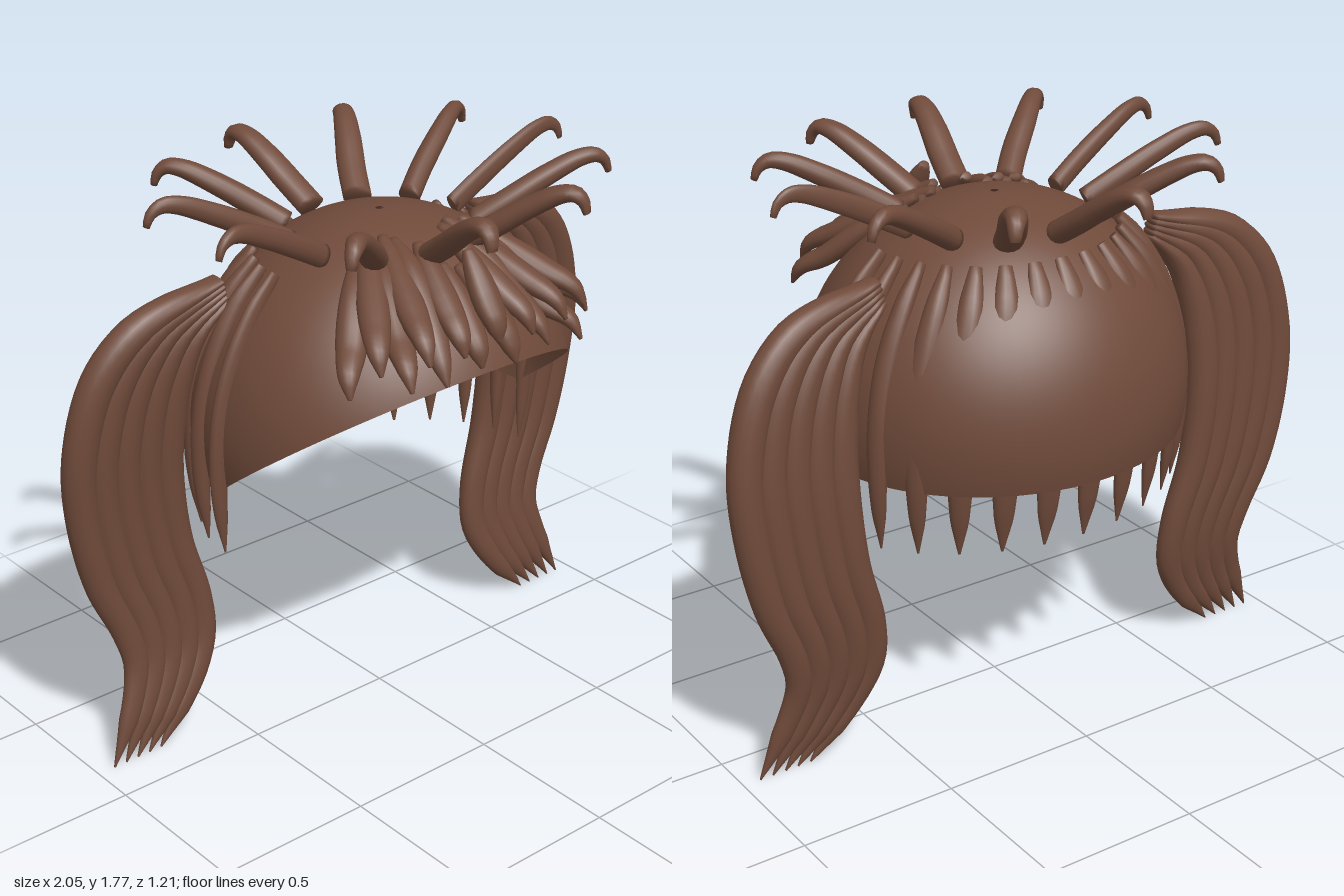
import * as THREE from 'three';
import { ParametricGeometry } from 'three/addons/geometries/ParametricGeometry.js';

const V = (x, y, z) => new THREE.Vector3(x, y, z);
const hair = new THREE.MeshStandardMaterial({ color: 0x6f4a3a, side: THREE.DoubleSide });
hair.name = 'brown hair';

// Cap ellipsoid
const CY = 1.03, RX = 0.61, RY = 0.6, RZ = 0.56;
const domeY = (x, z) => CY + RY * Math.sqrt(Math.max(0, 1 - (x / RX) ** 2 - (z / RZ) ** 2));

// Linear lookup in a short list of evenly spaced values
function sample(list, t) {
  const f = t * (list.length - 1), i = Math.min(Math.floor(f), list.length - 2);
  return THREE.MathUtils.lerp(list[i], list[i + 1], f - i);
}

// Lock of hair: an elliptical section swept along a smooth path.
// widths are half sizes along "side", depths are half sizes across it.
function lock(points, side, widths, depths, steps = 28, sides = 14) {
  const curve = new THREE.CatmullRomCurve3(points, false, 'centripetal');
  const pos = [], index = [];
  for (let i = 0; i <= steps; i++) {
    const t = i / steps, c = curve.getPointAt(t), T = curve.getTangentAt(t);
    const S = side.clone().addScaledVector(T, -side.dot(T)).normalize();
    const N = T.clone().cross(S);
    const w = sample(widths, t), d = sample(depths, t);
    for (let j = 0; j < sides; j++) {
      const a = (j / sides) * Math.PI * 2;
      const p = c.clone().addScaledVector(S, w * Math.cos(a)).addScaledVector(N, d * Math.sin(a));
      pos.push(p.x, p.y, p.z);
      if (i < steps) {
        const k = (j + 1) % sides, r = i * sides, q = r + sides;
        index.push(r + j, r + k, q + j, r + k, q + k, q + j);
      }
    }
  }
  // End caps
  for (let j = 1; j < sides - 1; j++) {
    const e = steps * sides;
    index.push(0, j + 1, j, e, e + j, e + j + 1);
  }
  const g = new THREE.BufferGeometry();
  g.setAttribute('position', new THREE.Float32BufferAttribute(pos, 3));
  g.setIndex(index);
  g.computeVertexNormals();
  return g;
}

export function createModel() {
  const model = new THREE.Group();
  model.name = 'wig';
  const group = (name) => {
    const g = new THREE.Group();
    g.name = name;
    model.add(g);
    return g;
  };
  const add = (parent, name, geometry) => {
    const m = new THREE.Mesh(geometry, hair);
    m.name = name;
    parent.add(m);
  };

  // Cap: open dome, level at the back and cut upward over the face
  add(model, 'cap', new ParametricGeometry((u, v, target) => {
    const phi = -u * Math.PI * 2;
    let y = 0.9;
    for (let i = 0; i < 14; i++) {
      const r = Math.sqrt(1 - ((y - CY) / RY) ** 2);
      y = 0.9 + 0.75 * Math.max(0, RZ * r * Math.cos(phi));
    }
    const th = THREE.MathUtils.lerp(0.02, Math.acos((y - CY) / RY), v);
    target.set(RX * Math.sin(th) * Math.sin(phi), CY + RY * Math.cos(th), RZ * Math.sin(th) * Math.cos(phi));
  }, 72, 36));

  // Crown: eleven hooked locks fanning out from the top
  const crown = group('crown');
  const crownPath = [[0.29, 0.27, 1.57], [0.4, 0.36, 1.63], [0.53, 0.45, 1.695],
    [0.64, 0.53, 1.74], [0.69, 0.57, 1.745], [0.725, 0.59, 1.725], [0.74, 0.6, 1.69]];
  for (let i = 0; i < 11; i++) {
    const a = (i / 11) * Math.PI * 2, c = Math.cos(a), s = Math.sin(a);
    const w = 0.018 + 0.03 * Math.abs(s);
    add(crown, 'crownLock', lock(
      crownPath.map(([x, z, y]) => V(x * c, y, z * s)),
      V(-0.74 * s, 0, 0.6 * c).normalize(),
      [w, w, w, w * 0.95, w * 0.85, w * 0.7, w * 0.35],
      [0.036, 0.036, 0.035, 0.033, 0.03, 0.024, 0.01]));
  }

  // Fringe: overlapping locks from the crown down over the forehead
  const fringe = group('fringe');
  const count = 15;
  for (let i = 0; i < count; i++) {
    const tx = -0.46 + (0.92 * i) / (count - 1), ax = Math.abs(tx);
    const ty = [1.29, 1.36, 1.31, 1.37][i % 4];
    const tz = 0.515 - 0.11 * Math.max(0, (ax - 0.33) / 0.13);
    const rx = tx * 0.45, rz = ax < 0.2 ? 0.38 - ax * 1.1 : 0.15;
    const at = (t, lift) => {
      const x = THREE.MathUtils.lerp(rx, tx, t), z = THREE.MathUtils.lerp(rz, tz, t);
      return V(x, Math.max(domeY(x, z) + lift, ty + 0.2 * (1 - t) + 0.04), z);
    };
    add(fringe, 'fringeLock', lock(
      [at(0, 0), at(0.35, 0.015), at(0.7, 0.03), at(0.93, 0.03), V(tx, ty, tz + 0.01)],
      V(1, 0, -tx * 1.2).normalize(),
      [0.016, 0.03, 0.038, 0.044, 0.047, 0.046, 0.04, 0.03, 0.006],
      [0.014, 0.024, 0.03, 0.033, 0.034, 0.033, 0.03, 0.022, 0.005]));
  }

  // Back: tapering locks from ear to ear, hanging below the rim
  const back = group('backLocks');
  const backPath = [[0.39, 0.335, 1.52], [0.475, 0.40, 1.42], [0.56, 0.45, 1.26],
    [0.605, 0.485, 1.08], [0.615, 0.49, 0.9], [0.6, 0.465, 0.69]];
  for (let i = -7; i <= 7; i++) {
    const a = (i / 7) * (Math.PI / 2), c = Math.cos(a), s = Math.sin(a);
    const w = 0.022 + 0.03 * c, d = 0.036 - 0.012 * c;
    add(back, 'backLock', lock(
      backPath.map(([x, z, y]) => V(x * s, y, -z * c)),
      V(0.6 * c, 0, 0.47 * s).normalize(),
      [0.4, 0.8, 0.95, 1, 1, 0.95, 0.8, 0.6, 0.08].map((k) => k * w),
      [0.5, 0.9, 1, 1, 1, 0.9, 0.8, 0.6, 0.08].map((k) => k * d)));
  }

  // Side tails: five flat locks each, between an inner and an outer outline
  // Rows: inner x, inner y, outer x, outer y, z
  const tail = [
    [0.48, 1.42, 0.50, 1.50, -0.13], [0.555, 1.33, 0.80, 1.41, -0.15],
    [0.605, 1.19, 0.93, 1.28, -0.17], [0.625, 1.03, 1.0, 1.06, -0.187],
    [0.625, 0.87, 1.0, 0.85, -0.198], [0.60, 0.66, 0.95, 0.60, -0.20],
    [0.545, 0.45, 0.875, 0.42, -0.19], [0.54, 0.31, 0.85, 0.31, -0.178],
    [0.595, 0.19, 0.88, 0.19, -0.16], [0.75, 0.003, 0.965, 0.003, -0.14]];
  const locks = 5;
  for (const side of [1, -1]) {
    const g = group(side > 0 ? 'leftTail' : 'rightTail');
    for (let k = 0; k < locks; k++) {
      const f = (k + 0.5) / locks, mix = THREE.MathUtils.lerp;
      const path = tail.map(([ix, iy, ox, oy, z]) => V(side * mix(ix, ox, f), mix(iy, oy, f), z));
      add(g, 'tailLock', lock(path, V(0, 0, 1),
        [0.034, 0.045, 0.049, 0.05, 0.049, 0.047, 0.044, 0.042, 0.038, 0.034, 0.03, 0.024, 0.004],
        [0.012, 0.036, 0.05, 0.056, 0.056, 0.055, 0.053, 0.051, 0.049, 0.046, 0.042, 0.034, 0.002],
        48, 16));
    }
  }
  return model;
}
